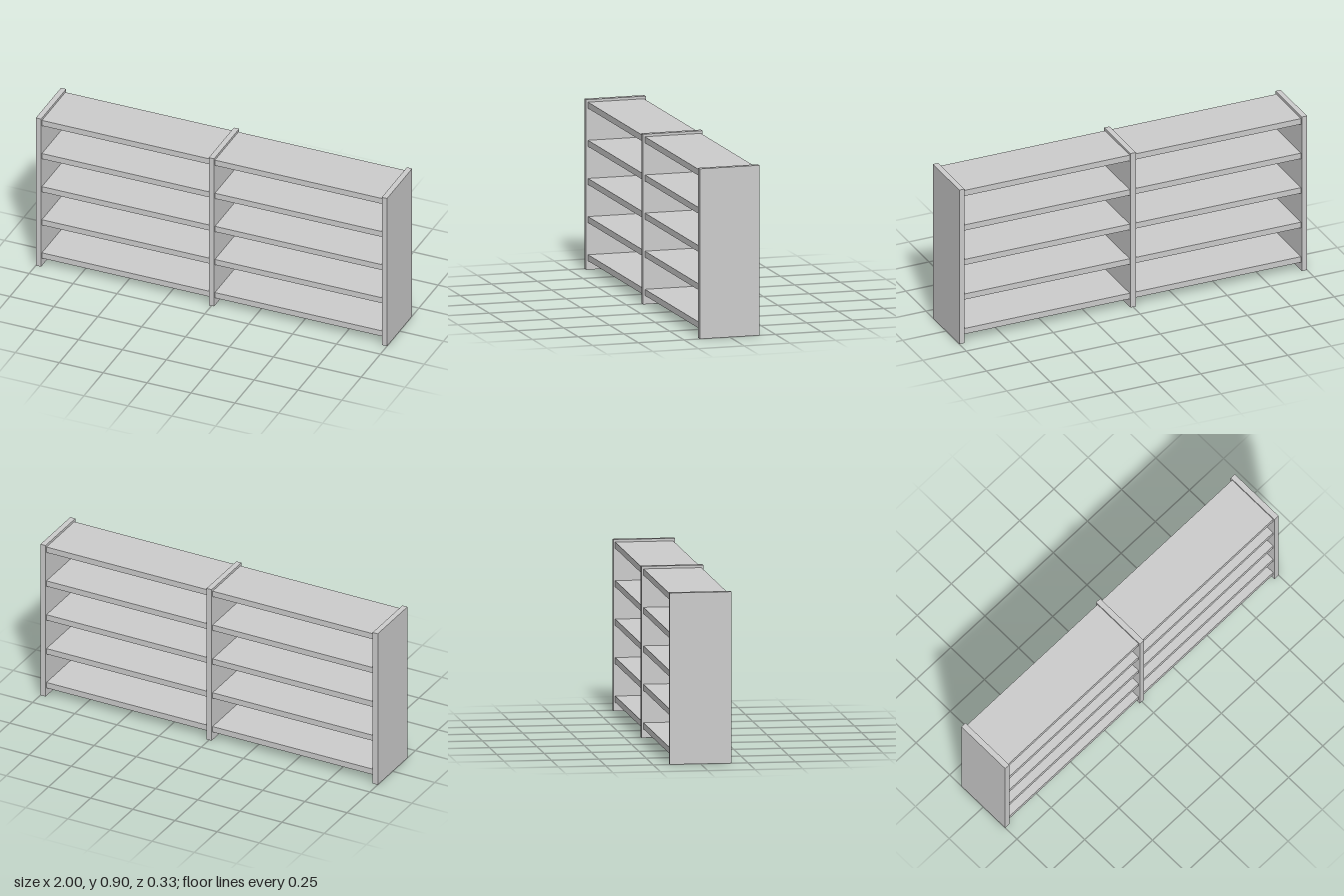
import * as THREE from 'three';

export function createModel() {
  const group = new THREE.Group();
  const material = new THREE.MeshStandardMaterial({ color: 0xcccccc });
  const height = 0.904, panelT = 0.03, depth = 0.326;
  const shelfT = 0.033, shelfDepth = 0.306, bayWidth = 1 - 1.5 * panelT;

  function board(name, w, h, d, x, y) {
    const mesh = new THREE.Mesh(new THREE.BoxGeometry(w, h, d), material);
    mesh.name = name;
    mesh.position.set(x, y, 0);
    group.add(mesh);
  }

  // Upright panels: two ends and a central divider
  const panelX = 1 - panelT / 2;
  board('rightSidePanel', panelT, height, depth, -panelX, height / 2);
  board('centreDivider', panelT, height, depth, 0, height / 2);
  board('leftSidePanel', panelT, height, depth, panelX, height / 2);

  // Five evenly spaced shelves in each bay, set in slightly front and back
  for (const [side, sign] of [['right', -1], ['left', 1]]) {
    for (let i = 0; i < 5; i++) {
      board(`${side}Shelf${i + 1}`, bayWidth, shelfT, shelfDepth,
        sign * (panelT / 2 + bayWidth / 2), 0.063 + i * 0.2027);
    }
  }
  return group;
}
